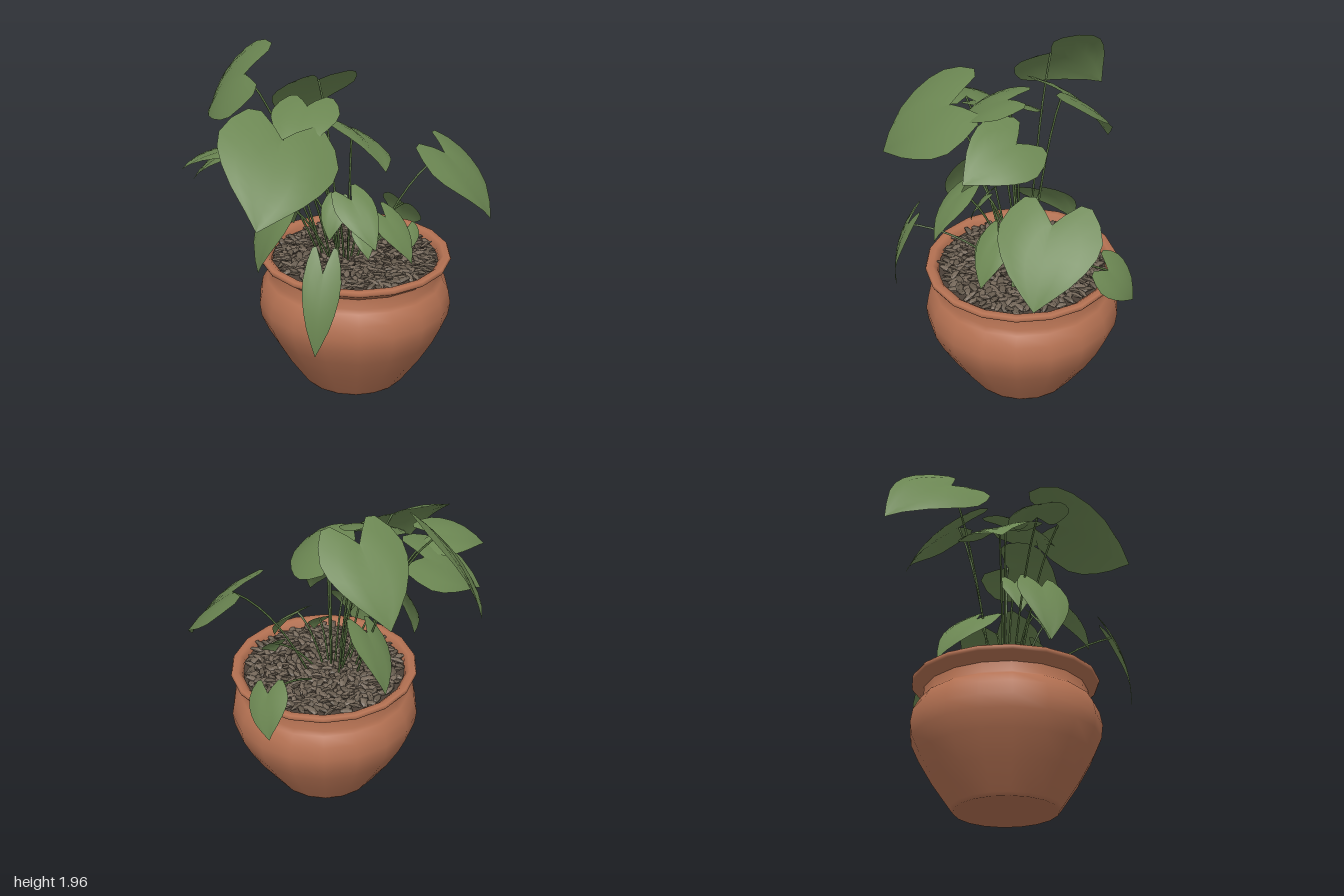
import * as THREE from 'three';
import { mergeGeometries } from 'three/addons/utils/BufferGeometryUtils.js';

const V = (x, y, z) => new THREE.Vector3(x, y, z);
const POT_X = 0.105, POT_Z = 0.22;
const CROWN = V(0.07, 0.75, 0.19);

// half outline of a heart-shaped leaf: x sideways, y along, from notch to tip
const OUTLINE = new THREE.SplineCurve(
  [[0, 0], [0.55, -0.3], [1, 0.1], [0.72, 0.55], [0, 1]].map((p) => new THREE.Vector2(...p)),
).getPoints(10);

// a leaf hangs from its notch to its tip, rolled about that line;
// spread is its half width relative to its length
const leaf = (name, notch, tip, roll = 0, spread = 0.53) => ({ name, notch, tip, roll, spread });
const NARROW = 0.37;

function listLeaves() {
  const leaves = [
    // canopy
    leaf('topBackLeaf', V(-0.22, 1.79, -0.37), V(-0.17, 1.47, -0.78), 0.88, 0.52),
    leaf('upperRightLeaf', V(0.11, 1.75, -0.11), V(0.17, 1.37, -0.44), -0.05, 0.5),
    leaf('largeLeftLeaf', V(-0.44, 1.61, 0.23), V(-0.8, 1.25, 0.45), 0.42, 0.6),
    leaf('largeRightLeaf', V(0.56, 1.36, 0.47), V(0.68, 1.0, 0.74), 0.07, 0.6),
    leaf('backLeftLeaf', V(-0.36, 1.5, -0.13), V(-0.65, 1.27, -0.31), -0.22, 0.6),
    leaf('farLeftLeaf', V(-0.55, 1.53, 0), V(-0.83, 1.43, -0.15), -0.2),
    leaf('centerLeftLeaf', V(-0.13, 1.69, 0.07), V(-0.38, 1.5, 0.25), 0),
    leaf('centerFrontLeaf', V(0.07, 1.55, 0.22), V(0, 1.41, 0.57), 0.55, 0.57),
    // low leaves, some hanging over the rim
    leaf('rightRimLeaf', V(0.63, 0.9, 0.08), V(0.72, 0.68, -0.04), -0.67),
    leaf('lowRightLeaf', V(0.33, 0.94, 0.42), V(0.27, 0.82, 0.48), 0.45),
    leaf('frontHeartLeaf', V(-0.14, 1.25, 0.45), V(-0.15, 1.02, 0.66), -0.27, NARROW),
    leaf('lowFrontLeaf', V(0.13, 1.07, 0.44), V(0.17, 0.83, 0.62), -0.1, NARROW),
    leaf('leftSideLeaf', V(-0.39, 1.2, 0.14), V(-0.52, 0.8, 0.1), 0.1, NARROW),
    leaf('leftRimLeaf', V(-0.46, 0.96, 0.58), V(-0.55, 0.5, 0.62), 0.4, 0.22),
    leaf('lowBackLeaf', V(0, 1.1, -0.05), V(0.06, 0.81, -0.28), 0.55, 0.42),
  ];
  // young leaves climbing around the crown
  for (let i = 0; i < 3; i++) {
    const a = 1.9 + i * 0.75, out = V(Math.cos(a), 0, Math.sin(a));
    const notch = CROWN.clone().addScaledVector(out, 0.2).setY(1 + i * 0.17);
    const tip = notch.clone().addScaledVector(out, 0.1);
    tip.y -= 0.14 + i * 0.05;
    leaves.push(leaf('youngLeaf' + (i + 1), notch, tip, 0, NARROW));
  }
  return leaves;
}

function leafGeometry({ notch, tip, roll, spread }) {
  const along = tip.clone().sub(notch), len = along.length(), half = len * spread;
  const axis = along.clone().normalize();
  const across = axis.clone().cross(V(0, 1, 0)).normalize().applyAxisAngle(axis, -roll);
  const up = across.clone().cross(axis);
  const rows = OUTLINE.length, steps = 6, n = steps + 1, pos = [], index = [];
  OUTLINE.forEach((edge, i) => {
    for (let j = 0; j < n; j++) {
      const s = (j / steps) * 2 - 1, u = s * edge.x;
      const v = THREE.MathUtils.lerp(i / (rows - 1), edge.y, Math.abs(s));
      // gentle arch lengthwise, drooping edges and a sunken midrib
      const lift = 0.3 * len * v * (1 - v) + half * (0.16 * Math.abs(u) - 0.26 * u * u);
      const p = notch.clone().addScaledVector(along, v)
        .addScaledVector(across, u * half).addScaledVector(up, lift);
      pos.push(p.x, p.y, p.z);
    }
  });
  for (let i = 0; i < rows - 1; i++) {
    for (let j = 0; j < steps; j++) {
      const k = i * n + j;
      index.push(k, k + 1, k + n, k + 1, k + n + 1, k + n);
    }
  }
  const g = new THREE.BufferGeometry();
  g.setAttribute('position', new THREE.Float32BufferAttribute(pos, 3));
  g.setIndex(index);
  g.computeVertexNormals();
  return g;
}

// stem rising from the soil near the crown and arching out to the notch
function stemGeometry({ notch }) {
  const start = CROWN.clone().lerp(notch, 0.25).setY(CROWN.y);
  const mid = start.clone().lerp(notch, 0.45);
  mid.y = THREE.MathUtils.lerp(start.y, notch.y, 0.72) + 0.04;
  return new THREE.TubeGeometry(new THREE.QuadraticBezierCurve3(start, mid, notch), 8, 0.0065, 5);
}

export function createModel() {
  const model = new THREE.Group();
  const material = (name, color, side = THREE.FrontSide) => {
    const m = new THREE.MeshStandardMaterial({ color, side });
    m.name = name;
    return m;
  };
  const terracotta = material('terracotta', 0xb47152);
  const leafGreen = material('leafGreen', 0x6b8652, THREE.DoubleSide);
  const stemGreen = material('stemGreen', 0x56703f);
  const soilDark = material('soilDark', 0x4a4037);
  const chipBrowns = [material('chipBrown', 0x75685a), material('chipDark', 0x64594c)];
  const add = (parent, name, geometry, mat) => {
    const mesh = new THREE.Mesh(geometry, mat);
    mesh.name = name;
    parent.add(mesh);
    return mesh;
  };

  // pot: bulging body with closed base, narrow neck and flared rim
  const pot = new THREE.Group();
  pot.name = 'pot';
  pot.position.set(POT_X, 0, POT_Z);
  model.add(pot);
  const lathe = (pts) => new THREE.LatheGeometry(pts.map((p) => new THREE.Vector2(...p)), 18);
  add(pot, 'potBody', lathe([
    [0, 0.005], [0.28, 0.005], [0.305, 0], [0.32, 0.02], [0.43, 0.18], [0.51, 0.32],
    [0.555, 0.42], [0.565, 0.5], [0.55, 0.58], [0.515, 0.64], [0.49, 0.66], [0.487, 0.74],
  ]), terracotta);
  add(pot, 'potRim', lathe([
    [0.487, 0.72], [0.51, 0.74], [0.55, 0.765], [0.558, 0.78], [0.55, 0.795],
    [0.515, 0.795], [0.49, 0.775], [0.48, 0.72],
  ]), terracotta);
  const soil = add(pot, 'soil', new THREE.CircleGeometry(0.487, 18), soilDark);
  soil.rotation.x = -Math.PI / 2;
  soil.position.y = 0.755;

  // bark chips scattered over the soil in a sunflower spiral
  let seed = 7;
  const rand = () => (seed = (seed * 16807) % 2147483647) / 2147483647;
  const chips = [[], []];
  const count = 480, dummy = new THREE.Object3D();
  for (let i = 0; i < count; i++) {
    const r = 0.46 * Math.sqrt((i + 0.5) / count), a = i * 2.39996;
    dummy.position.set(r * Math.cos(a), 0.765 + rand() * 0.018, r * Math.sin(a));
    dummy.rotation.set((rand() - 0.5) * 0.7, rand() * Math.PI * 2, (rand() - 0.5) * 0.7);
    dummy.scale.set(0.036 + rand() * 0.012, 0.011, 0.018 + rand() * 0.006);
    dummy.updateMatrix();
    chips[i % 2].push(new THREE.IcosahedronGeometry(1, 0).applyMatrix4(dummy.matrix));
  }
  chips.forEach((list, i) => add(pot, 'barkChips' + (i + 1), mergeGeometries(list), chipBrowns[i]));

  // leaves, each on its own arching stem
  const plant = new THREE.Group();
  plant.name = 'plant';
  model.add(plant);
  for (const item of listLeaves()) {
    add(plant, item.name, leafGeometry(item), leafGreen);
    add(plant, item.name + 'Stem', stemGeometry(item), stemGreen);
  }
  return model;
}
